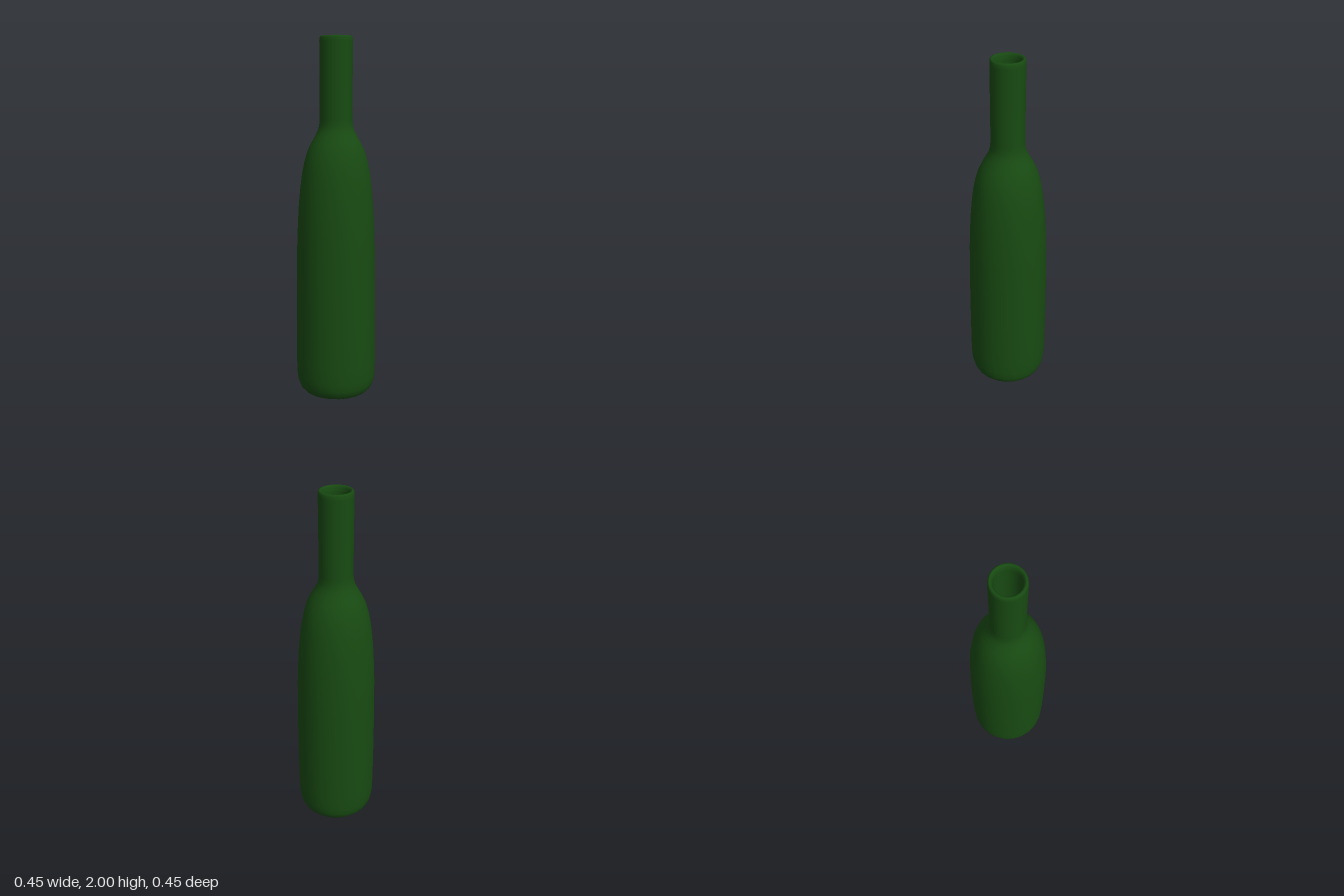
import * as THREE from 'three';

const SIDES = 24;

// Turns [radius, height] pairs into a smooth surface of revolution
function turned(name, pairs, material) {
  const points = pairs.map(([r, y]) => new THREE.Vector2(r, y));
  const mesh = new THREE.Mesh(new THREE.LatheGeometry(points, SIDES), material);
  mesh.name = name;
  return mesh;
}

export function createModel() {
  const bottle = new THREE.Group();
  bottle.name = 'bottle';
  const glass = new THREE.MeshStandardMaterial({ color: 0x184a12 });

  // Outside, from the base centre up over the shoulder to the neck
  const outer = [
    [0, 0], [0.13, 0], [0.165, 0.004], [0.19, 0.015], [0.208, 0.035], [0.219, 0.065],
    [0.225, 0.11], [0.227, 0.2], [0.226, 0.4], [0.224, 0.6], [0.221, 0.76],
    [0.218, 0.9], [0.213, 1.0], [0.207, 1.1], [0.199, 1.18], [0.189, 1.26],
    [0.175, 1.33], [0.157, 1.39], [0.135, 1.435], [0.115, 1.47],
    [0.1, 1.5], [0.093, 1.525], [0.09, 1.56], [0.09, 1.8], [0.09, 1.975],
  ];
  bottle.add(turned('outerWall', outer, glass));

  // Rounded rim around the mouth
  const rim = [[0.09, 1.975], [0.089, 1.99], [0.085, 1.998], [0.08, 2], [0.074, 1.997], [0.069, 1.987], [0.067, 1.97]];
  bottle.add(turned('rim', rim, glass));

  // Hollow inside, down to the floor
  const inner = [
    [0.067, 1.97], [0.067, 1.54], [0.075, 1.5], [0.11, 1.435], [0.15, 1.33],
    [0.175, 1.18], [0.19, 1.0], [0.2, 0.6], [0.203, 0.12], [0.18, 0.05], [0.13, 0.03], [0, 0.03],
  ];
  bottle.add(turned('innerWall', inner, glass));

  return bottle;
}
